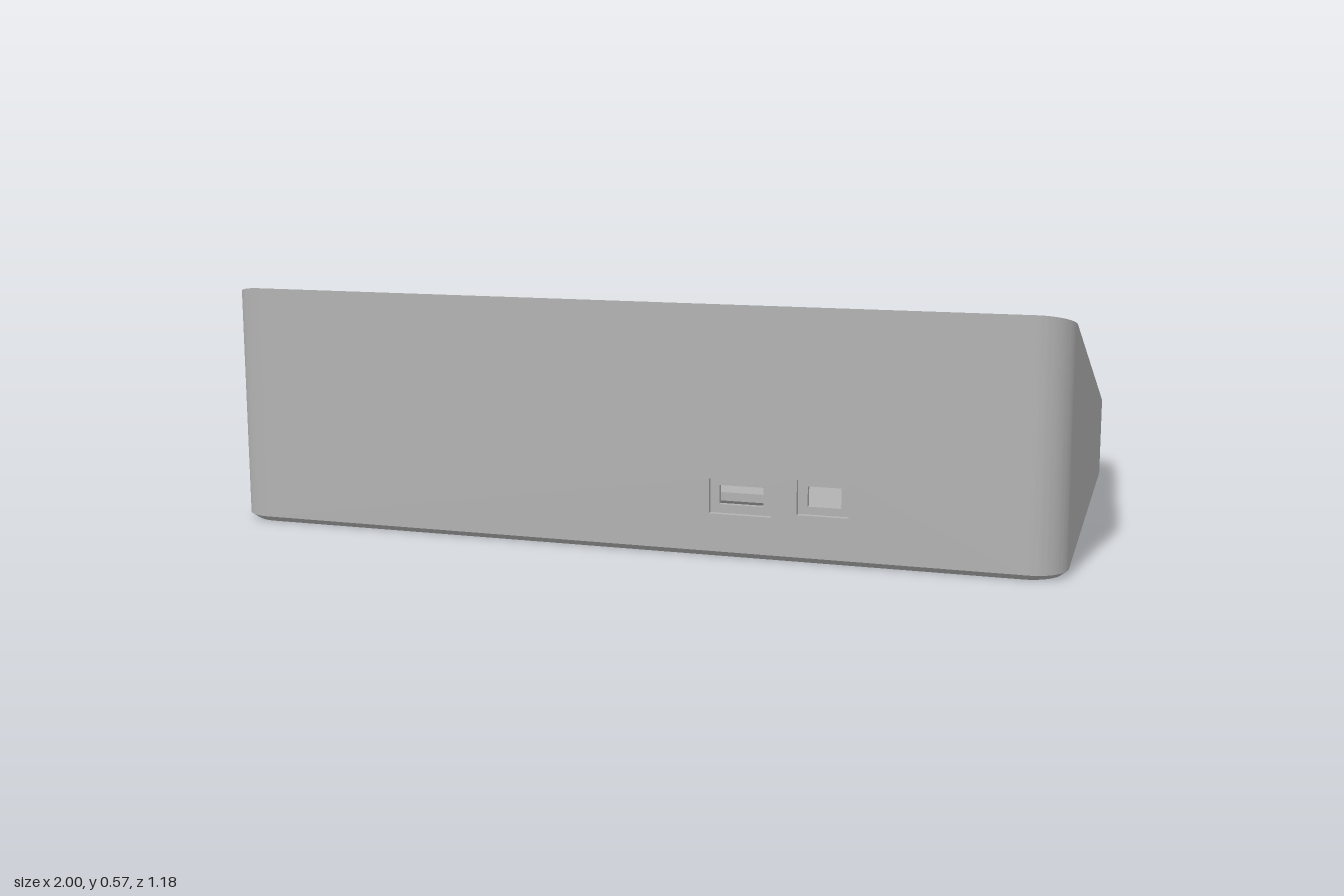
import * as THREE from 'three';
import { toCreasedNormals } from 'three/addons/utils/BufferGeometryUtils.js';

const HALF_X = 1, HALF_Z = 0.59, RADIUS = 0.08, WALL = 0.025;
const CHAMFER = 0.013, FLOOR = 0.035;
const SLOPE = 0.326;
const rimHeight = z => 0.3825 + SLOPE * z;

function roundRect(x0, y0, x1, y1, r, Type = THREE.Shape) {
  const s = new Type();
  s.moveTo(x0 + r, y0);
  s.lineTo(x1 - r, y0);
  s.absarc(x1 - r, y0 + r, r, -Math.PI / 2, 0, false);
  s.lineTo(x1, y1 - r);
  s.absarc(x1 - r, y1 - r, r, 0, Math.PI / 2, false);
  s.lineTo(x0 + r, y1);
  s.absarc(x0 + r, y1 - r, r, Math.PI / 2, Math.PI, false);
  s.lineTo(x0, y0 + r);
  s.absarc(x0 + r, y0 + r, r, Math.PI, Math.PI * 1.5, false);
  return s;
}

function rect(x0, y0, x1, y1, Type = THREE.Path) {
  return new Type([[x0, y0], [x1, y0], [x1, y1], [x0, y1]].map(p => new THREE.Vector2(...p)));
}

function circle(x, y, r, Type = THREE.Path) {
  const s = new Type();
  s.absarc(x, y, r, 0, Math.PI * 2, false);
  return s;
}

// Extrude an (x, z) plan shape upward from y0 to y1
function slab(shape, y0, y1, segments = 10) {
  const g = new THREE.ExtrudeGeometry(shape, { depth: y1 - y0, bevelEnabled: false, curveSegments: segments });
  return g.rotateX(Math.PI / 2).translate(0, y1, 0);
}

// Move vertices by a rule that edits a Vector3
function bend(g, rule) {
  const p = g.attributes.position, v = new THREE.Vector3();
  for (let i = 0; i < p.count; i++) {
    rule(v.fromBufferAttribute(p, i));
    p.setXYZ(i, v.x, v.y, v.z);
  }
  return g;
}

const slopeTop = (g, drop = 0) => bend(g, v => { if (v.y > 0.55) v.y = rimHeight(v.z) - drop; });

export function createModel() {
  const model = new THREE.Group();
  model.name = 'slopedEnclosure';
  const grey = new THREE.MeshStandardMaterial({ color: 0xb2b2b2 });
  grey.name = 'plasticGrey';
  const add = (name, g, parent = model) => {
    const m = new THREE.Mesh(toCreasedNormals(g, 0.5), grey);
    m.name = name;
    parent.add(m);
    return m;
  };
  const group = name => {
    const g = new THREE.Group();
    g.name = name;
    model.add(g);
    return g;
  };

  // Floor openings
  const speaker = [-0.687, 0.016];
  const throughBosses = [[0.478, -0.125], [0.75, -0.125], [0.617, 0.11]];
  const openings = () => {
    const holes = [
      roundRect(-0.24, -0.475, 0.17, -0.27, 0.015, THREE.Path),
      rect(-0.339, 0.105, 0.265, 0.414),
      circle(0.617, -0.045, 0.078),
      circle(0.617, -0.443, 0.045),
      circle(0.406, 0.376, 0.019),
      circle(-0.035, 0.496, 0.011),
      ...[-0.253, -0.107, 0.037, 0.184].map(x => circle(x, -0.139, 0.045)),
      ...throughBosses.map(([x, z]) => circle(x, z, 0.017)),
    ];
    // Hexagonal speaker grille
    for (let row = -4; row <= 4; row++) {
      for (let col = -5; col <= 5; col++) {
        const dx = (col + (row % 2 ? 0.5 : 0)) * 0.0445, dz = row * 0.0387;
        if (Math.hypot(dx, dz) < 0.164) holes.push(circle(speaker[0] + dx, speaker[1] + dz, 0.0135));
      }
    }
    return holes;
  };

  // Lower floor layer with chamfered outer edge and chamfered display window
  const base = roundRect(-HALF_X, -HALF_Z, HALF_X, HALF_Z, RADIUS);
  base.holes = openings();
  add('floorBottom', bend(slab(base, 0, CHAMFER), v => {
    if (v.y > 0.005) return;
    if (Math.abs(v.x) > 0.95 || Math.abs(v.z) > 0.55) {
      v.x *= 1 - CHAMFER / HALF_X;
      v.z *= 1 - CHAMFER / HALF_Z;
    } else if (v.x > -0.36 && v.x < 0.29 && v.z > 0.09 && v.z < 0.43) {
      v.x += Math.sign(v.x + 0.037) * 0.018;
      v.z += Math.sign(v.z - 0.26) * 0.018;
    }
  }));

  // Upper floor layer, tucked into the walls
  const inset = 0.015;
  const top = roundRect(-HALF_X + inset, -HALF_Z + inset, HALF_X - inset, HALF_Z - inset, RADIUS - inset);
  top.holes = openings();
  add('floorTop', slab(top, CHAMFER, FLOOR));

  // Back, sides and rounded corners
  const cx = HALF_X - RADIUS, cz = HALF_Z - RADIUS, ri = RADIUS - WALL, q = Math.PI / 2;
  const shell = new THREE.Shape();
  shell.moveTo(cx, HALF_Z);
  shell.absarc(cx, cz, RADIUS, q, 0, true);
  shell.absarc(cx, -cz, RADIUS, 0, -q, true);
  shell.absarc(-cx, -cz, RADIUS, -q, -2 * q, true);
  shell.absarc(-cx, cz, RADIUS, 2 * q, q, true);
  shell.lineTo(-cx, HALF_Z - WALL);
  shell.absarc(-cx, cz, ri, q, 2 * q, false);
  shell.absarc(-cx, -cz, ri, 2 * q, 3 * q, false);
  shell.absarc(cx, -cz, ri, -q, 0, false);
  shell.absarc(cx, cz, ri, 0, q, false);
  add('sideAndBackWalls', slopeTop(slab(shell, CHAMFER, 0.6)));

  // Front wall in two layers, giving each port a stepped recess
  const frontWall = group('frontWall');
  const frontLayer = (name, z0, z1, ports) => {
    const s = rect(-cx, CHAMFER, cx, 0.6, THREE.Shape);
    s.holes = ports.map(p => rect(...p));
    const g = new THREE.ExtrudeGeometry(s, { depth: z1 - z0, bevelEnabled: false });
    add(name, slopeTop(g.translate(0, 0, z0)), frontWall);
  };
  frontLayer('frontWallOuter', 0.577, HALF_Z, [[0.207, 0.1, 0.352, 0.18], [0.41, 0.11, 0.527, 0.19]]);
  frontLayer('frontWallInner', HALF_Z - WALL, 0.577, [[0.228, 0.12, 0.331, 0.164], [0.432, 0.128, 0.508, 0.174]]);

  // Corner screw posts, set just below the rim
  const posts = group('cornerPosts');
  for (const side of [-1, 1]) {
    for (const [z0, z1, zh] of [[-0.57, -0.463, -0.515], [0.436, 0.57, 0.487]]) {
      const x = [side * 0.873, side * 0.98].sort((a, b) => a - b);
      const outerZ = zh < 0 ? z0 : z1, innerZ = zh < 0 ? z1 : z0;
      const s = new THREE.Shape([
        [side * 0.873, innerZ], [side * 0.98, innerZ], [side * 0.98, outerZ - Math.sign(zh) * 0.05],
        [side * 0.93, outerZ], [side * 0.873, outerZ],
      ].map(p => new THREE.Vector2(...p)));
      s.holes = [circle((x[0] + x[1]) / 2, zh, 0.023)];
      add('cornerPost', slopeTop(slab(s, FLOOR, 0.6), 0.02), posts);
    }
  }

  // Screw bosses standing on the floor
  const bosses = group('screwBosses');
  const tube = (name, x, z, outer, inner, height, parent) => {
    const s = circle(x, z, outer, THREE.Shape);
    s.holes = [circle(x, z, inner)];
    add(name, slab(s, FLOOR, FLOOR + height, 14), parent);
  };
  const blind = [
    [-0.35, -0.467], [0.807, -0.467], [0.323, -0.232], [0.807, 0.142], [-0.35, 0.51], [0.134, 0.51],
    [-0.893, -0.189], [-0.48, -0.189], [-0.893, 0.222], [-0.48, 0.222],
  ];
  for (const [x, z] of [...blind, ...throughBosses]) tube('screwBoss', x, z, 0.042, 0.023, 0.075, bosses);
  tube('microphoneBoss', -0.035, 0.496, 0.037, 0.011, 0.02, bosses);

  // Raised ring around the grille
  tube('speakerRing', ...speaker, 0.227, 0.216, 0.025, model);

  // L-shaped brackets at the display corners
  const brackets = group('displayBrackets');
  const arm = 0.085, thick = 0.014;
  for (const [x, sx] of [[-0.374, 1], [0.305, -1]]) {
    for (const [z, sz] of [[0.005, 1], [0.444, -1]]) {
      const s = new THREE.Shape([[0, 0], [arm, 0], [arm, thick], [thick, thick], [thick, arm], [0, arm]]
        .map(([a, b]) => new THREE.Vector2(x + sx * a, z + sz * b)));
      add('displayBracket', slab(s, FLOOR, FLOOR + 0.04), brackets);
    }
  }
  return model;
}
